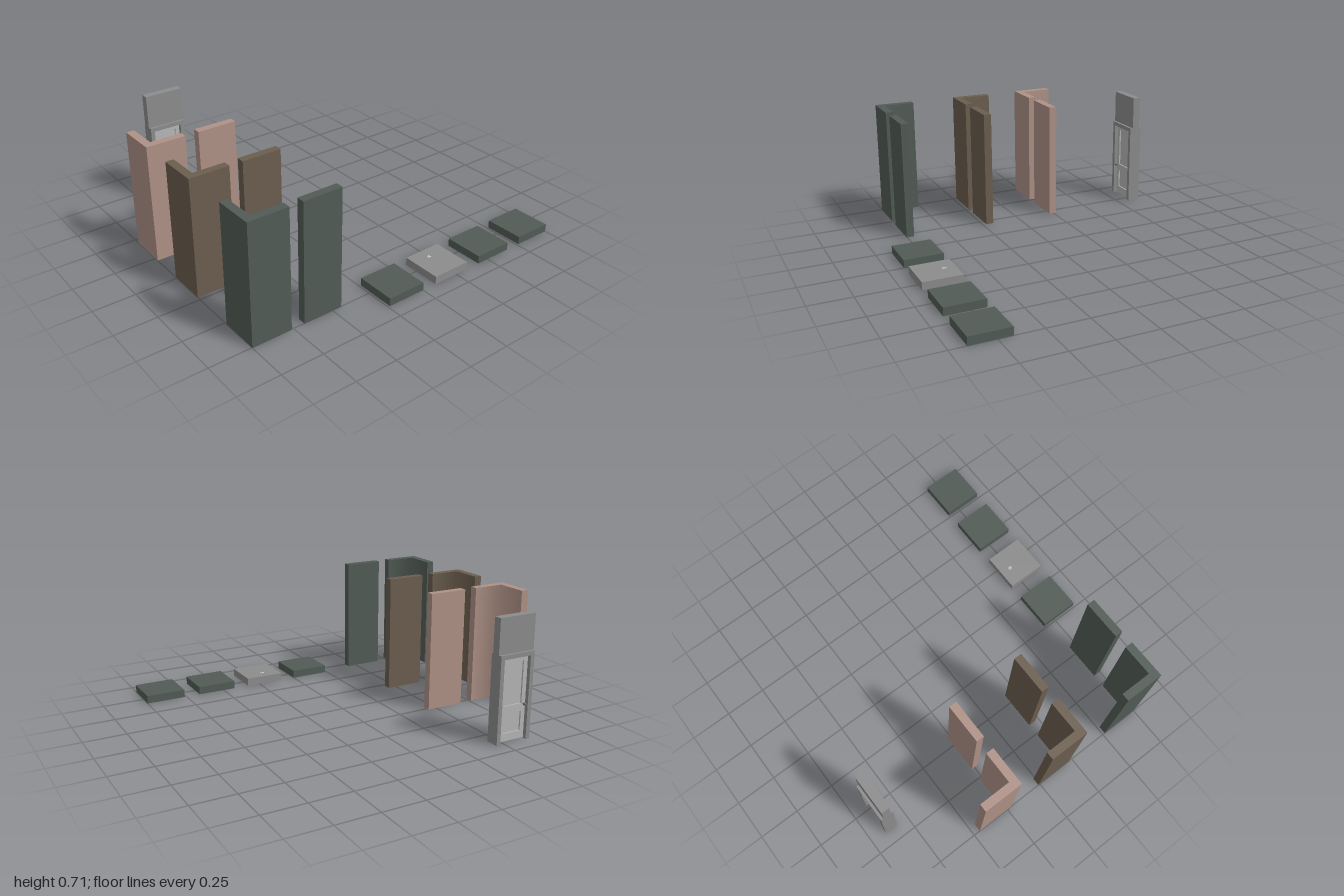
import * as THREE from 'three';

const W = 0.238;   // module width
const H = 0.715;   // wall height
const T = 0.0475;  // wall and floor thickness

const mat = (name, color, side = THREE.FrontSide) => {
  const m = new THREE.MeshStandardMaterial({ color, side });
  m.name = name;
  return m;
};

function add(parent, name, geometry, material, x = 0, y = 0, z = 0) {
  const mesh = new THREE.Mesh(geometry, material);
  mesh.name = name;
  mesh.position.set(x, y, z);
  parent.add(mesh);
  return mesh;
}

const box = (w, h, d) => new THREE.BoxGeometry(w, h, d);

// L-shaped wall corner, standing on y = 0, shading blended along the inner corner
function cornerGeometry() {
  const h = W / 2, i = -h + T;
  const pts = [[-h, -h], [h, -h], [h, i], [i, i], [i, h], [-h, h]];
  const shape = new THREE.Shape(pts.map(([x, y]) => new THREE.Vector2(x, y)));
  const g = new THREE.ExtrudeGeometry(shape, { depth: H, bevelEnabled: false });
  g.rotateX(-Math.PI / 2);
  const p = g.attributes.position, n = g.attributes.normal;
  for (let k = 0; k < p.count; k++) {
    const inner = Math.abs(p.getX(k) - i) < 1e-4 && Math.abs(p.getZ(k) + i) < 1e-4;
    if (inner && Math.abs(n.getY(k)) < 0.5) n.setXYZ(k, Math.SQRT1_2, 0, -Math.SQRT1_2);
  }
  return g;
}

// Floor slab: a box without its bottom face
function slabGeometry() {
  const g = box(W, T, W);
  const index = Array.from(g.index.array);
  index.splice(18, 6);
  g.setIndex(index);
  g.clearGroups();
  return g;
}

// Rectangle outline, used for the door leaf and its panel openings
function rect(Type, x0, y0, x1, y1) {
  const p = new Type();
  p.moveTo(x0, y0);
  p.lineTo(x1, y0);
  p.lineTo(x1, y1);
  p.lineTo(x0, y1);
  p.closePath();
  return p;
}

function doorModule(grey, leafGrey, metal) {
  const door = new THREE.Group();
  door.name = 'doorModule';
  const top = 0.51, jamb = 0.025, fw = 0.228, fd = 0.079;
  add(door, 'wallAboveDoor', box(W, H - top, T), grey, 0, (H + top) / 2, 0);

  // Frame
  for (const s of [-1, 1])
    add(door, 'doorJamb', box(jamb, top, fd), grey, s * (fw - jamb) / 2, top / 2, 0);
  add(door, 'doorHeader', box(fw - 2 * jamb, jamb, fd), grey, 0, top - jamb / 2, 0);

  // Leaf with two recessed panels
  const lw = fw / 2 - jamb, lh = top - jamb, depth = 0.034;
  const leaf = rect(THREE.Shape, -lw, 0.004, lw, lh);
  const panels = [[0.05, 0.165], [0.21, 0.455]];
  const px = lw - 0.027;
  for (const [a, b] of panels) leaf.holes.push(rect(THREE.Path, -px, a, px, b));
  add(door, 'doorLeaf', new THREE.ExtrudeGeometry(leaf, { depth, bevelEnabled: false }),
    leafGrey, 0, 0, -depth / 2);
  for (const [a, b] of panels)
    add(door, 'doorPanel', box(2 * px, b - a, 0.016), leafGrey, 0, (a + b) / 2, 0);

  // Knob on each face
  for (const s of [-1, 1]) {
    const neck = new THREE.CylinderGeometry(0.004, 0.004, 0.014, 10).rotateX(Math.PI / 2);
    add(door, 'knobNeck', neck, metal, -lw + 0.013, 0.205, s * 0.022);
    add(door, 'doorKnob', new THREE.SphereGeometry(0.009, 12, 8), metal, -lw + 0.013, 0.205, s * 0.03);
  }
  return door;
}

export function createModel() {
  const model = new THREE.Group();
  model.name = 'roomKit';
  const dark = mat('darkGreen', 0x515b55, THREE.DoubleSide);
  const brown = mat('brown', 0x6b5e4e);
  const pink = mat('dustyPink', 0xae9186);
  const grey = mat('grey', 0x8c8c8c, THREE.DoubleSide);
  const leafGrey = mat('lightGrey', 0xb6b6b6);
  const metal = mat('knobGrey', 0x6a6a6a);
  const white = mat('drainWhite', 0xd8d8d8);

  // Three rows of a wall corner and a straight wall
  const corner = cornerGeometry();
  const rows = [['dark', dark, 0.753], ['brown', brown, 0.227], ['pink', pink, -0.221]];
  for (const [name, material, front] of rows) {
    add(model, name + 'WallCorner', corner, material, -1 + W / 2, 0, front - W / 2);
    add(model, name + 'Wall', box(W, H, T), material, -0.563, H / 2, front - T / 2);
  }

  // Row of floor slabs
  const slab = slabGeometry();
  [-0.119, 0.211, 0.544, 0.881].forEach((x, k) =>
    add(model, 'floorSlab', slab, k === 1 ? grey : dark, x, T / 2, 0.905 - W / 2));

  // Small drain grate on the grey floor
  for (const o of [-0.005, 0.005]) {
    add(model, 'drainBar', box(0.003, 0.002, 0.022), white, 0.2 + o, T + 0.0005, 0.735);
    add(model, 'drainBar', box(0.022, 0.002, 0.003), white, 0.2, T + 0.0007, 0.735 + o);
  }

  const door = doorModule(grey, leafGrey, metal);
  door.position.set(-0.563, 0, -0.8655);
  model.add(door);
  return model;
}
